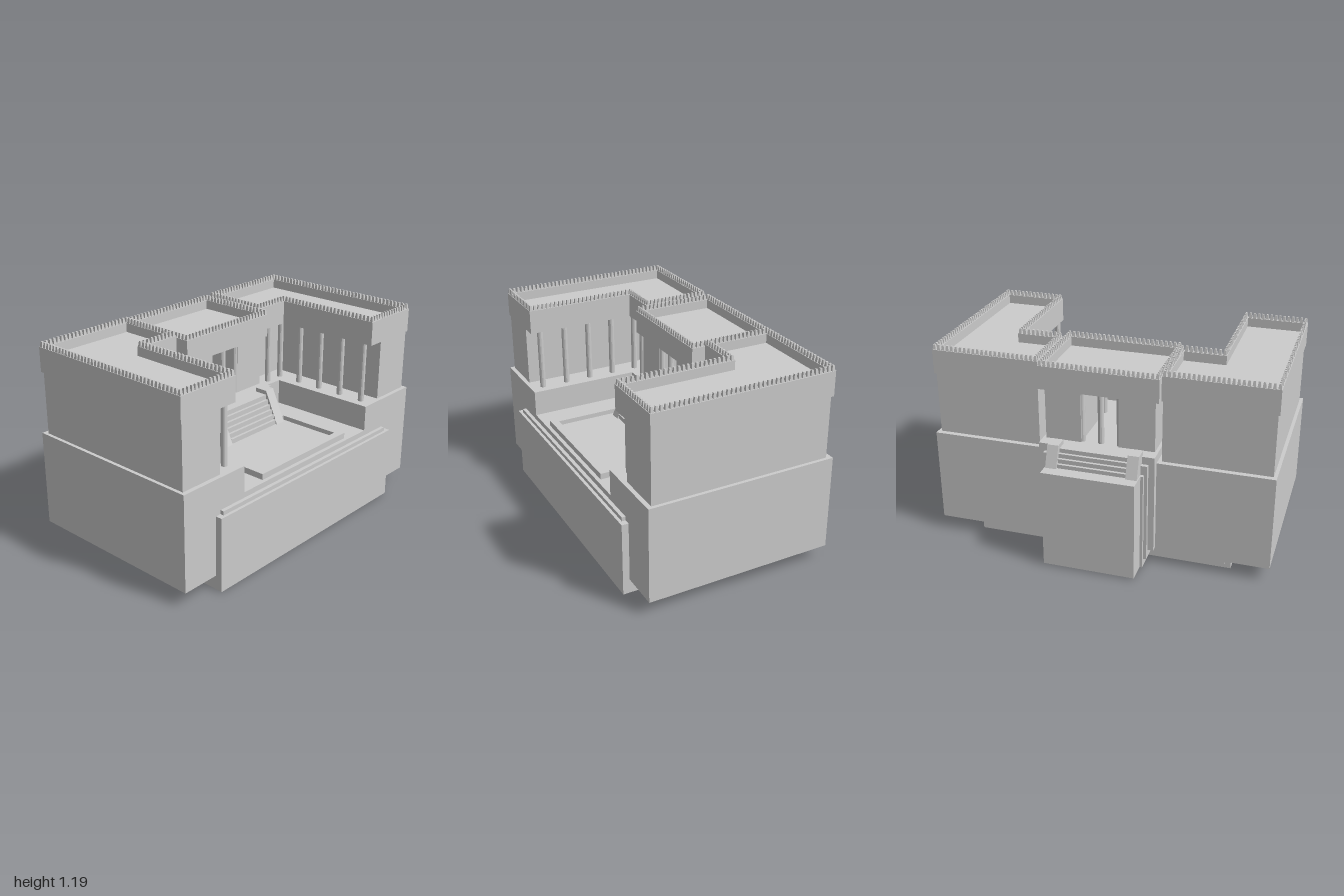
import * as THREE from 'three';
import { mergeGeometries } from 'three/addons/utils/BufferGeometryUtils.js';

const material = new THREE.MeshStandardMaterial({ color: 0xcccccc, flatShading: true, side: THREE.DoubleSide });

function add(parent, name, geometry) {
  const mesh = new THREE.Mesh(geometry, material);
  mesh.name = name;
  parent.add(mesh);
  return mesh;
}

// Plan outline [x, z] raised from y0 to y1; open leaves out the underside
function prism(pts, y0, y1, { hole = null, open = false } = {}) {
  const toV = ([x, z]) => new THREE.Vector2(x, -z);
  const shape = new THREE.Shape(pts.map(toV));
  if (hole) shape.holes.push(new THREE.Path(hole.map(toV)));
  const g = new THREE.ExtrudeGeometry(shape, { depth: y1 - y0, bevelEnabled: false });
  g.rotateX(-Math.PI / 2).translate(0, y0, 0);
  if (!open) return g;
  const p = g.attributes.position, n = g.attributes.normal, kept = [];
  for (let i = 0; i < p.count; i++) {
    if (n.getY(i) > -0.5) kept.push(p.getX(i), p.getY(i), p.getZ(i));
  }
  const shell = new THREE.BufferGeometry();
  shell.setAttribute('position', new THREE.Float32BufferAttribute(kept, 3));
  shell.computeVertexNormals();
  return shell;
}

const rect = (x0, x1, z0, z1) => [[x0, z0], [x1, z0], [x1, z1], [x0, z1]];

// Side profile [z, y] stretched from x0 to x1
function profile(pts, x0, x1) {
  const shape = new THREE.Shape(pts.map(([z, y]) => new THREE.Vector2(z, y)));
  const g = new THREE.ExtrudeGeometry(shape, { depth: x1 - x0, bevelEnabled: false });
  return g.rotateY(-Math.PI / 2).translate(x1, 0, 0);
}

// Move a right-angled outline inwards by d
function inset(pts, d) {
  const n = pts.length;
  let area = 0;
  pts.forEach(([x, z], i) => {
    const [u, w] = pts[(i + 1) % n];
    area += x * w - u * z;
  });
  const s = Math.sign(area) * d;
  return pts.map(([x, z], i) => {
    const a = pts[(i + n - 1) % n], b = pts[(i + 1) % n];
    const dx = Math.sign(x - a[0]) + Math.sign(b[0] - x);
    const dz = Math.sign(z - a[1]) + Math.sign(b[1] - z);
    return [x - dz * s, z + dx * s];
  });
}

// Flat roof with a parapet and a row of small merlons
function roof(parent, name, outline, y0, yTop) {
  const group = new THREE.Group();
  group.name = name;
  parent.add(group);
  const t = 0.026, inner = inset(outline, t), mid = inset(outline, t / 2);
  add(group, 'roofSlab', prism(outline, y0, yTop - 0.085));
  add(group, 'parapet', prism(outline, yTop - 0.085, yTop - 0.03, { hole: inner }));
  const merlons = [];
  mid.forEach(([x, z], i) => {
    const [u, w] = mid[(i + 1) % mid.length];
    const count = Math.round(Math.hypot(u - x, w - z) / 0.0265);
    for (let k = 0; k < count; k++) {
      const f = k / count;
      merlons.push(new THREE.CylinderGeometry(0.008, 0.014, 0.03, 4)
        .rotateY(Math.PI / 4)
        .translate(x + (u - x) * f, yTop - 0.015, z + (w - z) * f));
    }
  });
  add(group, 'merlons', mergeGeometries(merlons));
}

function column(parent, x, z, y0, y1) {
  add(parent, 'column', new THREE.CylinderGeometry(0.018, 0.018, y1 - y0, 12).translate(x, (y0 + y1) / 2, z));
}

// Staircase: dir +1 descends to the front, -1 to the back
function stairs(parent, name, dir, zTop, zBottom, yTop, yBottom, zBack, steps, cheek) {
  const group = new THREE.Group();
  group.name = name;
  parent.add(group);
  const pts = [[zBack, yBottom], [zBack, yTop]];
  for (let i = 0; i < steps; i++) {
    const z = zTop + (zBottom - zTop) * i / (steps - 1);
    pts.push([z, yTop - (yTop - yBottom) * i / steps], [z, yTop - (yTop - yBottom) * (i + 1) / steps]);
  }
  add(group, 'steps', profile(pts, -0.2, 0.2));
  for (const s of [-1, 1]) {
    add(group, 'stairCheek', profile(cheek, s * 0.2325 - 0.0325, s * 0.2325 + 0.0325));
  }
}

export function createModel() {
  const model = new THREE.Group();
  model.name = 'palace';
  const open = { open: true };

  // Terraced foundation, hollow underneath
  add(model, 'lowerTerrace', prism(rect(-0.77, 0.77, -0.41, 0.683), 0, 0.44, open));
  add(model, 'middleTerrace', prism(rect(-0.735, 0.735, -0.425, 0.665), 0.03, 0.463, open));
  add(model, 'courtyardFloor', prism(rect(-0.55, 0.55, -0.43, 0.643), 0.055, 0.495, open));
  add(model, 'wingBase', prism([
    [-1, -0.478], [1, -0.478], [1, 0.643], [0.55, 0.643],
    [0.55, -0.03], [-0.55, -0.03], [-0.55, 0.643], [-1, 0.643],
  ], 0.085, 0.65, open));

  // Sunken basin in the courtyard
  add(model, 'basinRim', prism(rect(-0.375, 0.375, 0.14, 0.62), 0.49, 0.53, { hole: rect(-0.335, 0.335, 0.185, 0.575) }));
  add(model, 'basinFloor', prism(rect(-0.335, 0.335, 0.185, 0.575), 0.49, 0.503));

  // Stepped platform under the central hall
  add(model, 'platformTop', prism(rect(-0.338, 0.338, -0.518, 0.08), 0.105, 0.7, open));
  add(model, 'platformMiddle', prism(rect(-0.303, 0.303, -0.542, 0.105), 0.055, 0.655, open));
  add(model, 'platformBottom', prism(rect(-0.285, 0.285, -0.563, 0.127), 0.01, 0.6, open));
  add(model, 'rearLanding', prism(rect(-0.27, 0.27, -0.683, -0.56), 0.01, 0.602, open));

  // Front and rear stairs with sloping cheeks
  stairs(model, 'frontStairs', 1, 0.155, 0.235, 0.7, 0.53, 0.07, 6,
    [[0.075, 0.53], [0.075, 0.725], [0.155, 0.725], [0.245, 0.53]]);
  stairs(model, 'rearStairs', -1, -0.555, -0.605, 0.7, 0.6, -0.51, 4,
    [[-0.49, 0.6], [-0.49, 0.725], [-0.572, 0.725], [-0.62, 0.6]]);

  // Central hall: two piers, two rows of columns and a roof
  const hall = new THREE.Group();
  hall.name = 'centralHall';
  model.add(hall);
  for (const s of [-1, 1]) {
    add(hall, 'pier', prism(rect(s * 0.11, s * 0.32, -0.445, 0.0), 0.7, 1.01));
  }
  for (const z of [-0.42, -0.02]) {
    for (const x of [-0.11, 0, 0.11]) column(hall, x, z, 0.7, 1.01);
  }
  roof(hall, 'hallRoof', rect(-0.347, 0.347, -0.478, 0.033), 1.01, 1.178);

  // Two L-shaped wings with colonnades around the courtyard
  for (const s of [1, -1]) {
    const wing = new THREE.Group();
    wing.name = s > 0 ? 'leftWing' : 'rightWing';
    model.add(wing);
    const side = pts => pts.map(([x, z]) => [s * x, z]);
    add(wing, 'wingWalls', prism(side([
      [0.36, -0.447], [0.98, -0.447], [0.98, 0.617], [0.71, 0.617], [0.71, -0.17], [0.36, -0.17],
    ]), 0.65, 1.02));
    for (let i = 0; i < 5; i++) column(wing, s * 0.617, 0.56 - i * 0.16, 0.65, 1.02);
    for (const x of [0.495, 0.373]) column(wing, s * x, -0.08, 0.65, 1.02);
    roof(wing, 'wingRoof', side([
      [0.354, -0.458], [0.99, -0.458], [0.99, 0.623], [0.6, 0.623], [0.6, -0.045], [0.354, -0.045],
    ]), 1.018, 1.193);
  }
  return model;
}
